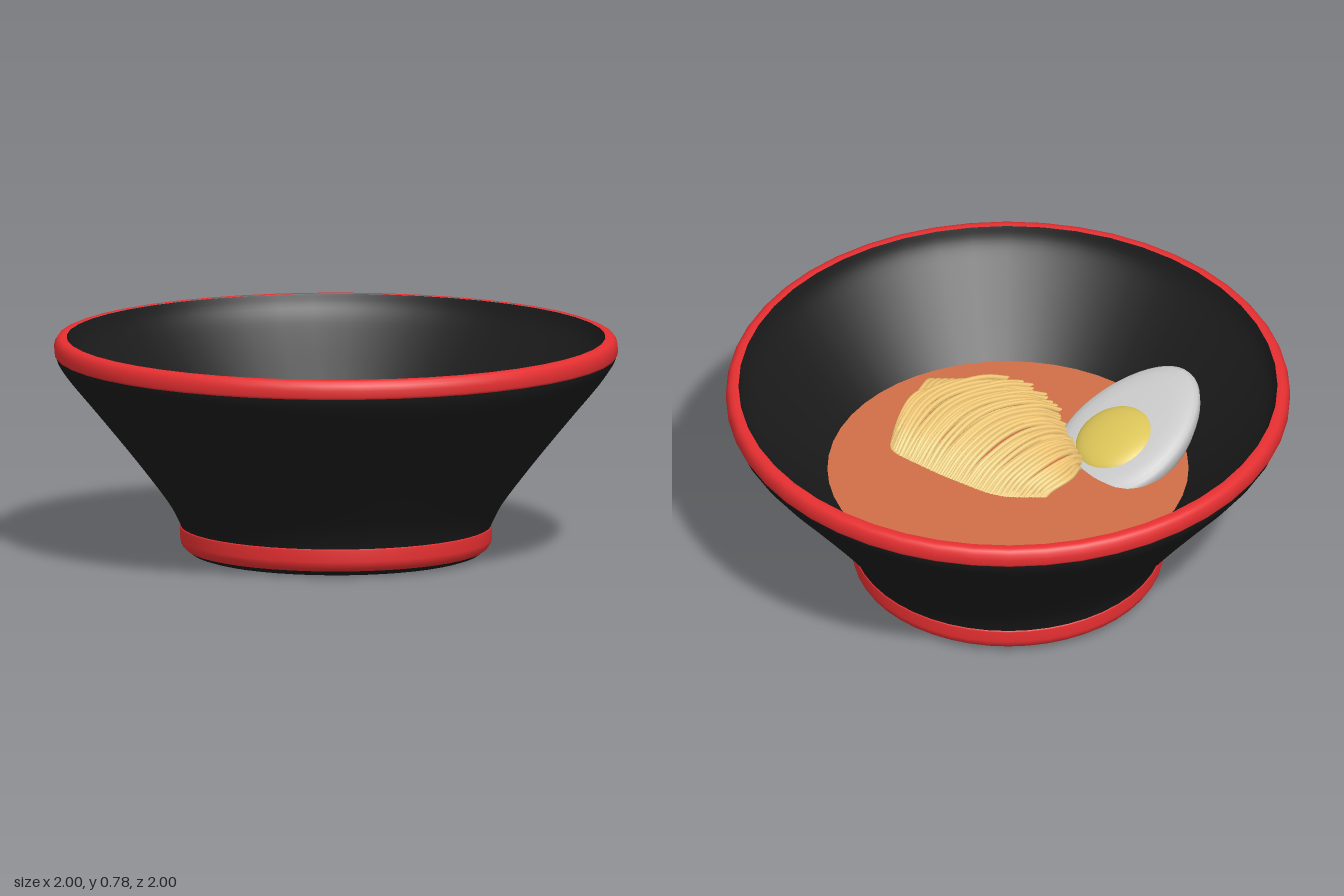
import * as THREE from 'three';

const SEGMENTS = 48;
const SOUP_Y = 0.417;

const material = (color) => new THREE.MeshStandardMaterial({ color });
const BLACK = material(0x1a1a1a);
const RED = material(0xe62f31);
const SOUP = material(0xd06f47);
const NOODLE = material(0xf8cc78);
const WHITE = material(0xcccccc);
const YOLK = material(0xdcc558);

function add(parent, name, geometry, mat) {
  const mesh = new THREE.Mesh(geometry, mat);
  mesh.name = name;
  parent.add(mesh);
  return mesh;
}

function lathe(points) {
  return new THREE.LatheGeometry(points.map(([r, y]) => new THREE.Vector2(r, y)), SEGMENTS);
}

// Smooth profile through a few points
function smooth(points, count) {
  return new THREE.SplineCurve(points.map(([r, y]) => new THREE.Vector2(r, y)))
    .getPoints(count).map((p) => [Math.max(p.x, 0), p.y]);
}

function seeded(seed) {
  return () => {
    seed = (seed * 16807) % 2147483647;
    return seed / 2147483647;
  };
}

function createBowl() {
  const bowl = new THREE.Group();
  bowl.name = 'bowl';
  add(bowl, 'outerWall', lathe(smooth(
    [[0.548, 0.1], [0.56, 0.13], [0.6, 0.2], [0.71, 0.345], [0.84, 0.505], [0.94, 0.625], [0.982, 0.685], [0.995, 0.72]], 28)), BLACK);
  add(bowl, 'innerWall', lathe(smooth(
    [[0.956, 0.779], [0.93, 0.72], [0.85, 0.63], [0.64, 0.417], [0.48, 0.24], [0.3, 0.17], [0, 0.15]], 28)), BLACK);
  // Rounded red lip
  add(bowl, 'rim', lathe([[0.98, 0.714], [0.994, 0.714], [0.999, 0.722], [1, 0.745],
    [0.996, 0.763], [0.988, 0.775], [0.977, 0.78], [0.966, 0.781], [0.955, 0.78]]), RED);
  // Red foot band on a black base
  add(bowl, 'footBand', lathe([[0.53, 0.023], [0.542, 0.033], [0.55, 0.047], [0.553, 0.06],
    [0.553, 0.1], [0.551, 0.105], [0.545, 0.106]]), RED);
  add(bowl, 'base', lathe([[0, 0], [0.46, 0], [0.49, 0.003], [0.512, 0.01], [0.532, 0.025]]), BLACK);
  return bowl;
}

function createEgg() {
  const egg = new THREE.Group();
  egg.name = 'halfEgg';

  // Unit dome with a gently convex cut face, stretched into an egg outline
  const profile = [[0, -0.17], [0.35, -0.16], [0.65, -0.13], [0.87, -0.08], [0.97, -0.04],
    [1, -0.012], [0.985, 0.004], [0.93, 0.016], [0.8, 0.026], [0.6, 0.032], [0, 0.034]];
  const white = lathe(profile);
  const p = white.attributes.position;
  for (let i = 0; i < p.count; i++) {
    const z = p.getZ(i);
    p.setX(i, p.getX(i) * 0.234 * (1 - 0.15 * z));
    p.setZ(i, z * 0.31);
  }
  white.computeVertexNormals();
  add(egg, 'eggWhite', white, WHITE);

  // Domed yolk near the blunt end
  const yolk = add(egg, 'yolk', new THREE.SphereGeometry(0.148, 32, 20), YOLK);
  yolk.scale.y = 0.3;
  yolk.position.set(0.005, 0.017, -0.067);

  // Lean the egg up against the side of the bowl
  const normal = new THREE.Vector3(0.17, 1, -0.36).normalize();
  const long = new THREE.Vector3(-0.26, 0, 0.96);
  long.addScaledVector(normal, -long.dot(normal)).normalize();
  const side = new THREE.Vector3().crossVectors(normal, long);
  egg.quaternion.setFromRotationMatrix(new THREE.Matrix4().makeBasis(side, normal, long));
  egg.position.set(-0.3, 0.477, 0.343);
  return egg;
}

function createNoodles() {
  const noodles = new THREE.Group();
  noodles.name = 'noodles';
  const random = seeded(7);
  const edge = (points) => new THREE.CatmullRomCurve3(points.map(([x, z]) => new THREE.Vector3(x, 0, z)));
  // Strands run from the back edge, over the ridge, down to the front edge
  const backEdge = edge([[-0.19, -0.09], [-0.05, -0.16], [0.12, -0.16], [0.29, -0.14], [0.41, -0.11], [0.45, -0.03]]);
  const ridge = edge([[-0.24, 0.01], [-0.13, 0.05], [0.04, 0.11], [0.24, 0.14], [0.41, 0.15], [0.465, 0.15]]);
  const frontEdge = edge([[-0.21, 0.14], [-0.17, 0.23], [-0.06, 0.34], [0.08, 0.46], [0.28, 0.48], [0.42, 0.3]]);

  // Lays one strand along a plan curve, arched to the given height
  function addStrand(plan, reach, height, drift) {
    const points = [];
    for (let k = 0; k <= 7; k++) {
      const t = k / 7;
      const point = plan.getPoint(t * reach);
      point.x += drift * t;
      point.y = SOUP_Y - 0.012 + height * Math.pow(Math.max(Math.sin(Math.PI * t), 0), 0.65);
      points.push(point);
    }
    const path = new THREE.CatmullRomCurve3(points);
    add(noodles, 'noodleStrand', new THREE.TubeGeometry(path, 22, 0.0095, 6), NOODLE);
  }

  for (let layer = 0; layer < 2; layer++) {
    const count = 42;
    for (let i = 0; i < count; i++) {
      const u = (i + 0.5 * layer) / (count - 0.5);
      const plan = new THREE.CatmullRomCurve3([backEdge, ridge, frontEdge].map((curve) => curve.getPoint(u)));
      const height = 0.055 + 0.05 * Math.sin(Math.PI * u) - layer * 0.012 + (random() - 0.5) * 0.014;
      addStrand(plan, 0.93 + random() * 0.07, height, (random() - 0.5) * 0.03);
    }
  }

  // Loose strands trailing off the right side
  for (let i = 0; i < 5; i++) {
    const plan = edge([[0.45 - i * 0.006, -0.03], [0.46 - i * 0.012, 0.14], [0.5 - i * 0.022, 0.34 + i * 0.012]]);
    addStrand(plan, 1, 0.06, 0);
  }
  return noodles;
}

export function createModel() {
  const model = new THREE.Group();
  model.name = 'noodleBowl';
  model.add(createBowl());

  const soup = add(model, 'soup', new THREE.CircleGeometry(0.642, SEGMENTS), SOUP);
  soup.rotation.x = -Math.PI / 2;
  soup.position.y = SOUP_Y;

  model.add(createEgg(), createNoodles());
  return model;
}
